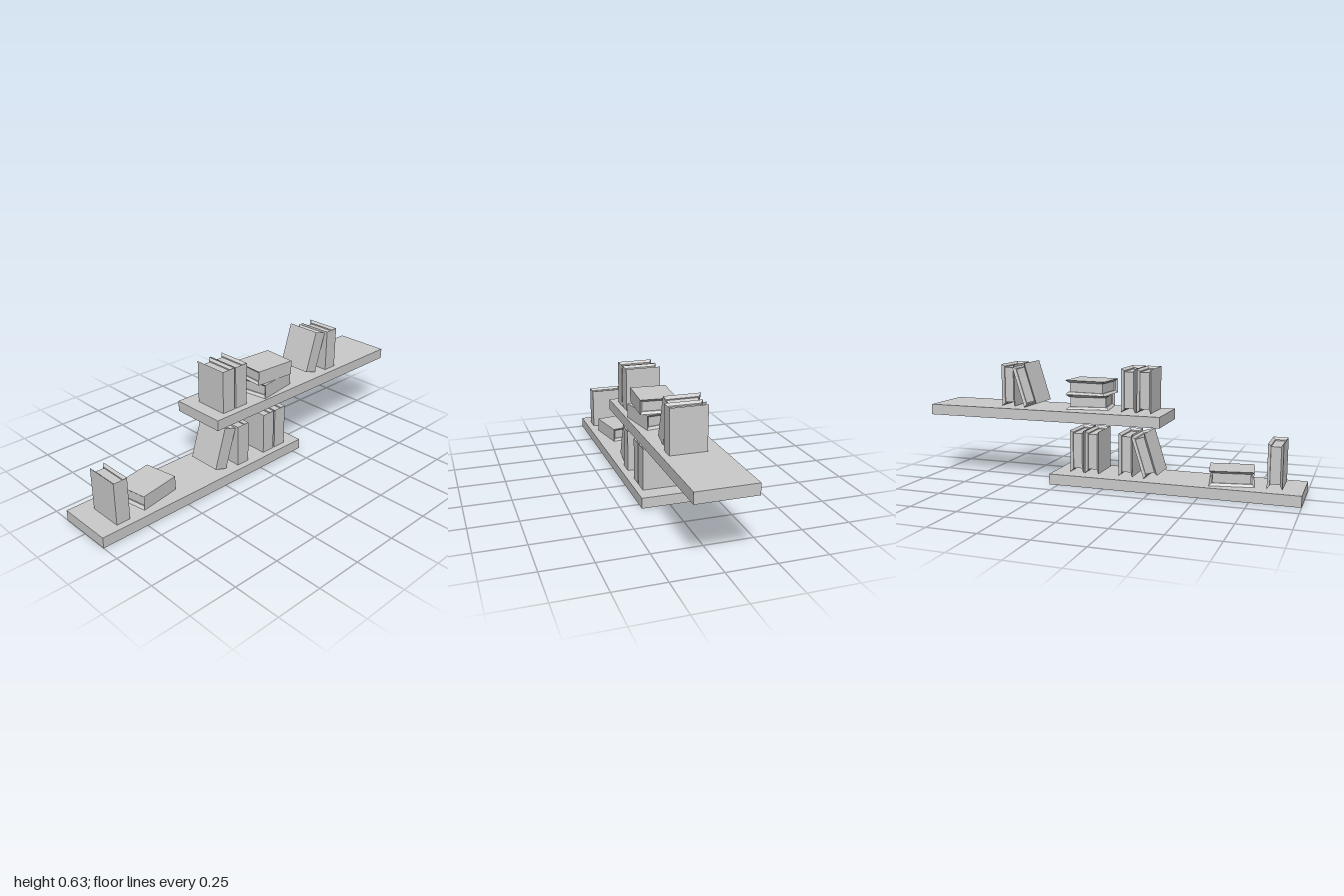
import * as THREE from 'three';

const material = new THREE.MeshStandardMaterial({ color: 0xcccccc, flatShading: true });

// Book size: width across the spine, height, depth, board thickness, page recess
const W = 0.075, H = 0.224, D = 0.185, T = 0.012, RECESS = 0.018;

function box(name, w, h, d, x, y, z) {
  const mesh = new THREE.Mesh(new THREE.BoxGeometry(w, h, d), material);
  mesh.name = name;
  mesh.position.set(x, y, z);
  return mesh;
}

// Thin board whose inner (-z) face is inset all round, giving bevelled edges
function board(name, w, h) {
  const geometry = new THREE.BoxGeometry(w, h, T);
  const p = geometry.attributes.position;
  for (let i = 0; i < p.count; i++) {
    if (p.getZ(i) < 0) {
      p.setX(i, Math.sign(p.getX(i)) * (w / 2 - T));
      p.setY(i, Math.sign(p.getY(i)) * (h / 2 - T));
    }
  }
  geometry.computeVertexNormals();
  const mesh = new THREE.Mesh(geometry, material);
  mesh.name = name;
  return mesh;
}

// Hardback centred on its own origin, spine towards +z
function book(name, x, y, z, turn = 0, roll = 0) {
  const group = new THREE.Group();
  group.name = name;

  const spine = board('spine', W, H);
  spine.position.z = D / 2 - T / 2;
  group.add(spine);

  for (const side of [-1, 1]) {
    const cover = board(side > 0 ? 'leftCover' : 'rightCover', D, H);
    cover.rotation.y = side * Math.PI / 2;
    cover.position.x = side * (W / 2 - T / 2);
    group.add(cover);
  }

  group.add(box('pages', W - 2 * T, H - 2 * RECESS, D - T - RECESS, 0, 0, (RECESS - T) / 2));

  group.position.set(x, y, z);
  group.rotation.set(0, THREE.MathUtils.degToRad(turn), THREE.MathUtils.degToRad(roll), 'YXZ');
  return group;
}

// Shelf with its upright, leaning and lying books
function shelf(name, x, bottom, thickness, { upright, leaning, lying }) {
  const group = new THREE.Group();
  group.name = name;
  group.add(box('shelfBoard', 1.3, thickness, 0.298, x, bottom + thickness / 2, 0));
  const top = bottom + thickness + 0.002;
  upright.forEach(bx => group.add(book('uprightBook', bx, top + H / 2, 0.0225)));
  leaning.forEach(bx => group.add(book('leaningBook', bx, top + 0.117, 0.0045, 0, -17.5)));
  lying.forEach(([bx, bz, turn], i) =>
    group.add(book('lyingBook', bx, top + W * (i + 0.5), bz, turn, 90)));
  return group;
}

export function createModel() {
  const model = new THREE.Group();
  model.name = 'bookShelves';
  model.add(shelf('lowerShelf', -0.35, 0, 0.056, {
    upright: [-0.861, -0.097, 0.09, 0.174],
    leaning: [-0.203],
    lying: [[-0.64, -0.003, 10]],
  }));
  model.add(shelf('upperShelf', 0.35, 0.336, 0.056, {
    upright: [-0.194, -0.11, 0.57],
    leaning: [0.465],
    lying: [[0.131, 0.032, 9], [0.127, 0.034, -4]],
  }));
  return model;
}
